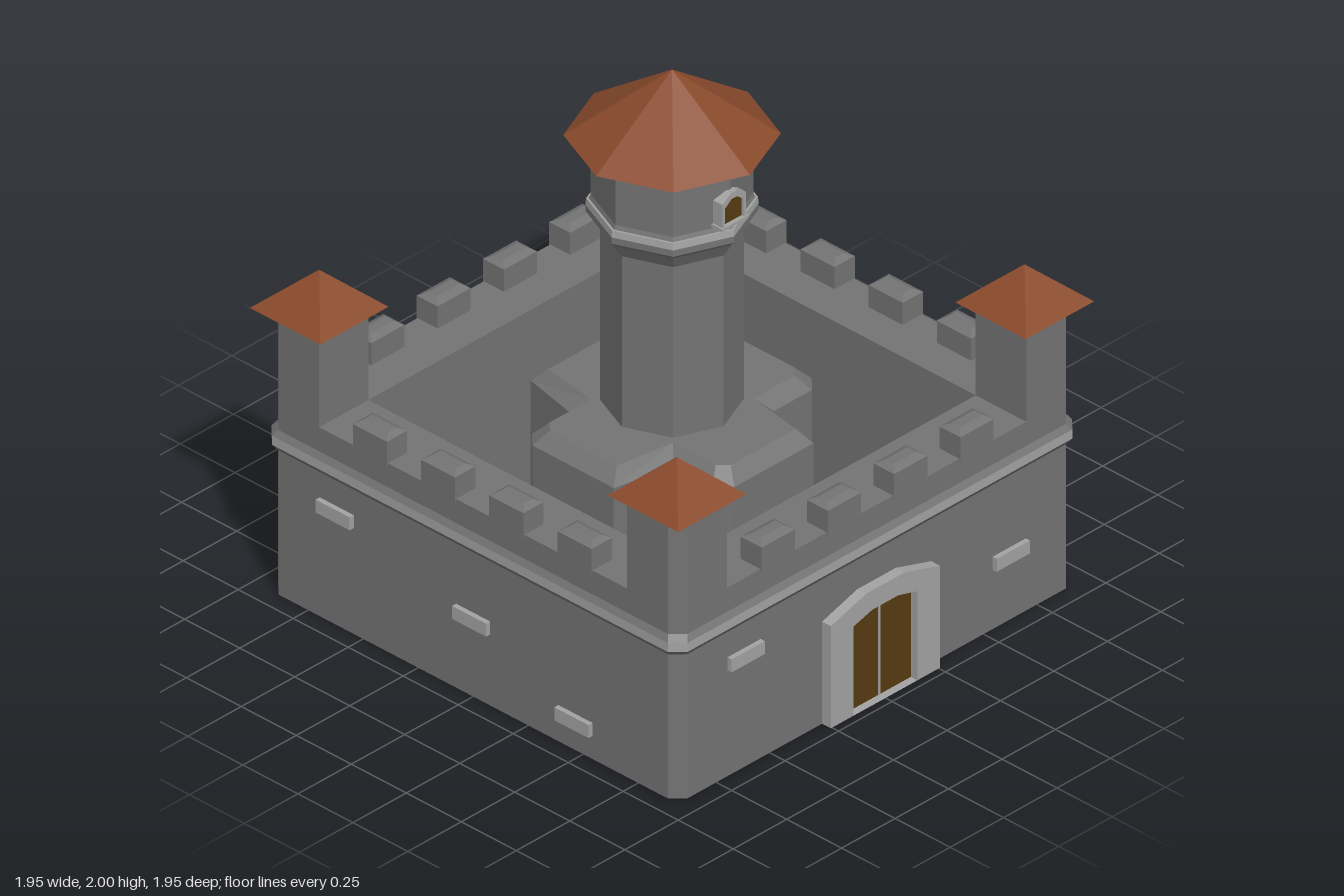
import * as THREE from 'three';

const mat = (color) => new THREE.MeshStandardMaterial({ color, flatShading: true });
const stone = mat(0x737373);
const trim = mat(0xa3a3a3);
const tile = mat(0x8a4a2c);
const wood = mat(0x553a10);

function add(parent, name, geometry, material, x = 0, y = 0, z = 0) {
  const mesh = new THREE.Mesh(geometry, material);
  mesh.name = name;
  mesh.position.set(x, y, z);
  parent.add(mesh);
  return mesh;
}

// Joins outlines of [x, z] points stacked at given heights
function loft(levels, capped = true) {
  const pos = [];
  const put = (p, y) => pos.push(p[0], y, p[1]);
  for (let l = 0; l + 1 < levels.length; l++) {
    const [y0, a] = levels[l];
    const [y1, b] = levels[l + 1];
    for (let i = 0; i < a.length; i++) {
      const j = (i + 1) % a.length;
      put(a[i], y0); put(b[i], y1); put(a[j], y0);
      put(a[j], y0); put(b[i], y1); put(b[j], y1);
    }
  }
  if (capped) {
    const cap = ([y, ring], up) => {
      const contour = ring.map((p) => new THREE.Vector2(p[0], p[1]));
      for (const f of THREE.ShapeUtils.triangulateShape(contour, [])) {
        for (const i of up ? [f[0], f[2], f[1]] : f) put(ring[i], y);
      }
    };
    cap(levels[0], false);
    cap(levels[levels.length - 1], true);
  }
  const g = new THREE.BufferGeometry();
  g.setAttribute('position', new THREE.Float32BufferAttribute(pos, 3));
  g.computeVertexNormals();
  return g;
}

// Repeats a quarter outline four times around the centre
function quarterTurns(points) {
  const out = [];
  for (let k = 0; k < 4; k++) {
    for (const [x, z] of points) out.push([[x, z], [-z, x], [-x, -z], [z, -x]][k]);
  }
  return out;
}

const chamferedSquare = (r, c = 0.045) => quarterTurns([[r, r - c], [r - c, r]]);
const rectangle = (w, d) => [[w, -d], [w, d], [-w, d], [-w, -d]];
const octagon = (r) => Array.from({ length: 8 }, (_, i) =>
  [r * Math.cos(i * Math.PI / 4), r * Math.sin(i * Math.PI / 4)]);
const crossOutline = (arm, half, c) => quarterTurns(
  [[arm, -half + c], [arm, half - c], [arm - c, half], [half, half]]);

// Gabled arch outline: half width, side height, top half width, top height
const arch = (w, side, topW, top) => [[-w, 0], [w, 0], [w, side], [topW, top], [-topW, top], [-w, side]]
  .map((p) => new THREE.Vector2(...p));

// Extrudes an outline so that it faces +x
function facingX(outline, depth, hole) {
  const shape = new THREE.Shape(outline);
  if (hole) shape.holes.push(new THREE.Path(hole));
  return new THREE.ExtrudeGeometry(shape, { depth, bevelEnabled: false }).rotateY(Math.PI / 2);
}

function roof(parent, name, radius, height, sides, x, y, z) {
  const g = new THREE.Group();
  g.name = name;
  g.position.set(x, y, z);
  if (sides === 4) g.rotation.y = Math.PI / 4;
  add(g, 'roofTiles', new THREE.ConeGeometry(radius, height, sides, 1, true), tile, 0, height / 2, 0);
  add(g, 'roofUnderside', new THREE.CircleGeometry(radius, sides).rotateX(Math.PI / 2), stone);
  parent.add(g);
}

export function createModel() {
  const model = new THREE.Group();
  model.name = 'castle';

  // Outer wall around an open courtyard
  const wall = new THREE.Shape(chamferedSquare(0.93).map((p) => new THREE.Vector2(...p)));
  wall.holes.push(new THREE.Path(rectangle(0.7, 0.7).map((p) => new THREE.Vector2(...p))));
  add(model, 'outerWall', new THREE.ExtrudeGeometry(wall, { depth: 0.73, bevelEnabled: false })
    .rotateX(-Math.PI / 2), stone);

  // Ledge running around the wall
  const inner = chamferedSquare(0.928);
  const outer = chamferedSquare(0.945);
  add(model, 'ledgeBottom', loft([[0.555, inner], [0.58, outer]], false), stone);
  add(model, 'ledgeBand', loft([[0.58, outer], [0.615, outer]], false), trim);
  add(model, 'ledgeTop', loft([[0.615, outer], [0.64, inner]], false), stone);

  // One battlement row and one corner tower per side
  const merlon = loft([[0.72, rectangle(0.0775, 0.0475)], [0.815, rectangle(0.0775, 0.0475)],
    [0.83, rectangle(0.055, 0.02)]]);
  const corner = loft([0.72, 1.09].map((y) => [y,
    [[0.7, 0.7], [0.93, 0.7], [0.93, 0.885], [0.885, 0.93], [0.7, 0.93]]]));
  for (let k = 0; k < 4; k++) {
    const side = new THREE.Group();
    side.name = 'wallSide';
    side.rotation.y = k * Math.PI / 2;
    for (const x of [-0.465, -0.155, 0.155, 0.465]) add(side, 'merlon', merlon, stone, x, 0, 0.887);
    add(side, 'cornerTower', corner, stone);
    roof(side, 'cornerRoof', 0.16 * Math.SQRT2, 0.145, 4, 0.813, 1.09, 0.813);
    model.add(side);
  }

  // Projecting stones: [along wall, height] for front, right, back and left faces
  const stones = [
    [[-0.62, 0.435], [0, 0.3], [0.465, 0.115]],
    [[-0.62, 0.435], [0.62, 0.255]],
    [[-0.465, 0.21], [0.62, 0.435]],
    [[-0.62, 0.435], [-0.155, 0.16], [0.465, 0.345]],
  ];
  const brick = new THREE.BoxGeometry(0.155, 0.05, 0.04);
  stones.forEach((list, k) => {
    const face = new THREE.Group();
    face.name = 'wallStones';
    face.rotation.y = k * Math.PI / 2;
    for (const [x, y] of list) add(face, 'wallStone', brick, trim, x, y, 0.929);
    model.add(face);
  });

  // Gate with its frame and two leaves
  const gateHole = arch(0.15, 0.345, 0.06, 0.37);
  add(model, 'gateFrame', facingX(arch(0.255, 0.395, 0.09, 0.445), 0.06, gateHole), trim, 0.91);
  add(model, 'gateLeaves', facingX(gateHole, 0.03), wood, 0.91);
  add(model, 'gateSeam', new THREE.BoxGeometry(0.01, 0.37, 0.01), trim, 0.938, 0.185, 0);

  // Cross-shaped base of the keep
  const base = crossOutline(0.463, 0.235, 0.05);
  add(model, 'keepBase', loft([[0, base], [0.675, base], [0.725, crossOutline(0.415, 0.187, 0.035)]]), stone);

  // Eight-sided keep with a flared band below its upper room
  add(model, 'keepShaft', loft([[0.7, octagon(0.235)], [1.385, octagon(0.235)],
    [1.44, octagon(0.268)], [1.455, octagon(0.282)], [1.48, octagon(0.282)]]), stone);
  add(model, 'keepBand', loft([[1.48, octagon(0.283)], [1.505, octagon(0.28)]]), trim);
  add(model, 'keepRoom', loft([[1.505, octagon(0.272)], [1.52, octagon(0.265)], [1.75, octagon(0.265)]]), stone);
  roof(model, 'keepRoof', 0.355, 0.25, 8, 0, 1.75, 0);

  // Keep window
  const windowHole = arch(0.043, 0.075, 0.012, 0.098);
  add(model, 'windowFrame', facingX(arch(0.056, 0.095, 0.015, 0.122), 0.065, windowHole), trim, 0.218, 1.532, 0);
  add(model, 'windowShutter', facingX(windowHole, 0.055), wood, 0.218, 1.532, 0);
  add(model, 'windowSill', new THREE.BoxGeometry(0.06, 0.012, 0.125), trim, 0.258, 1.532, 0);

  return model;
}
